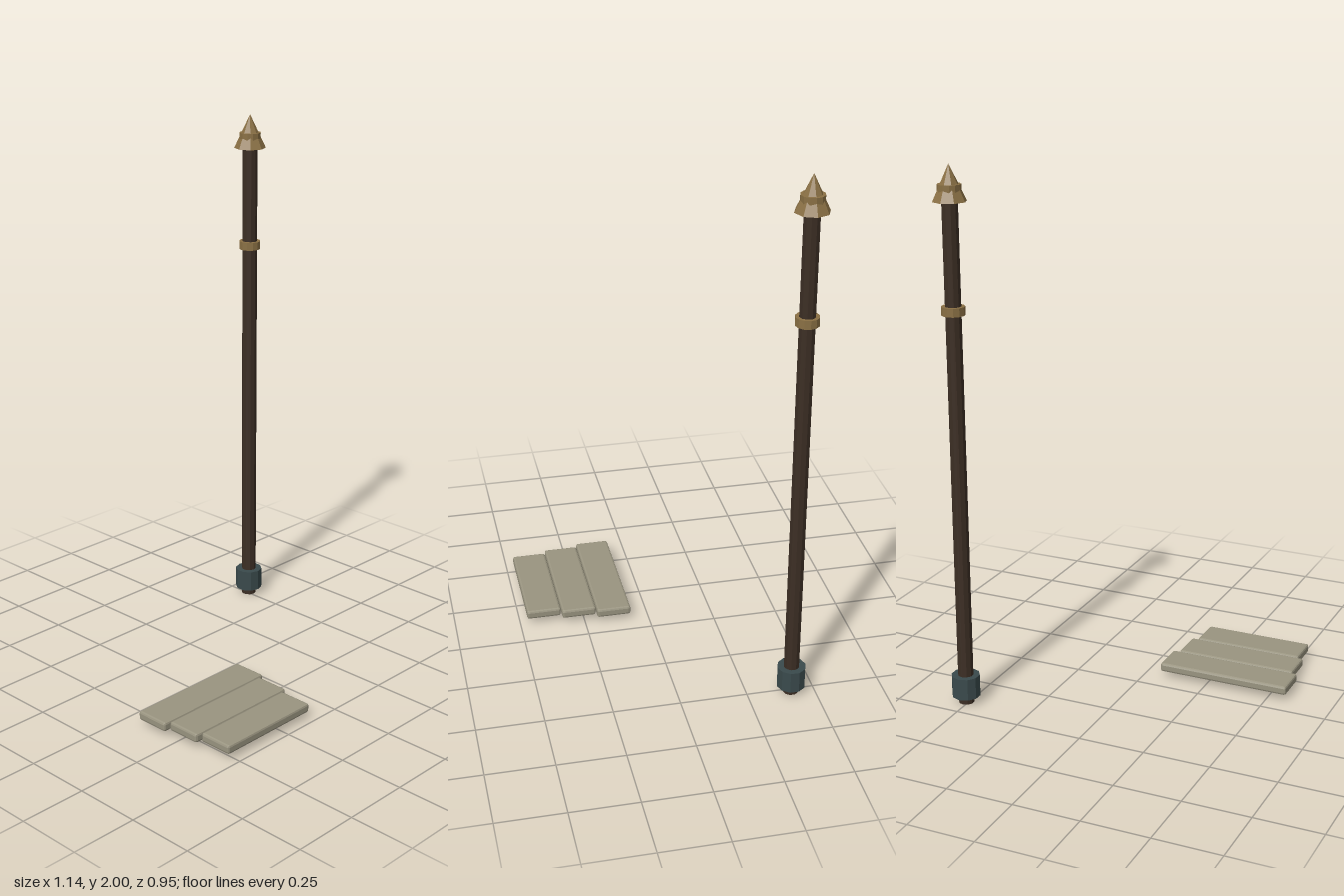
import * as THREE from 'three';
import { RoundedBoxGeometry } from 'three/addons/geometries/RoundedBoxGeometry.js';

const material = (color) => new THREE.MeshStandardMaterial({ color, flatShading: true });

export function createModel() {
  const model = new THREE.Group();
  const wood = material(0x3c2e24);
  const brass = material(0x8a7044);
  const iron = material(0x3a4a4c);
  const stone = material(0x999480);

  const add = (parent, name, geometry, mat, x, y, z) => {
    const mesh = new THREE.Mesh(geometry, mat);
    mesh.name = name;
    mesh.position.set(x, y, z);
    parent.add(mesh);
  };

  // Stacked row of bevelled slabs, narrowing toward the front
  const slabs = new THREE.Group();
  slabs.name = 'slabs';
  for (let i = 0; i < 3; i++) {
    const width = 0.507 - i * 0.045;
    add(slabs, `slab${i + 1}`, new RoundedBoxGeometry(width, 0.034, 0.132, 1, 0.008),
      stone, -0.319, 0.041, 0.137 + i * 0.135);
  }
  model.add(slabs);

  // Upright pole with iron foot, brass bands and a pointed tip
  const pole = new THREE.Group();
  pole.name = 'pole';
  pole.position.set(0.51, 0, -0.413);
  // Vertical cylinder given by its bottom and top heights
  const cylinder = (name, mat, rTop, rBottom, y0, y1, sides) =>
    add(pole, name, new THREE.CylinderGeometry(rTop, rBottom, y1 - y0, sides), mat, 0, (y0 + y1) / 2, 0);

  cylinder('shaft', wood, 0.029, 0.029, 0, 1.88, 10);
  cylinder('footCollar', iron, 0.053, 0.053, 0.028, 0.111, 10);
  cylinder('middleBand', brass, 0.042, 0.042, 1.477, 1.508, 12);
  cylinder('tipBand', brass, 0.042, 0.042, 1.9, 1.931, 12);
  cylinder('tip', brass, 0, 0.061, 1.872, 2, 8);
  model.add(pole);

  return model;
}
